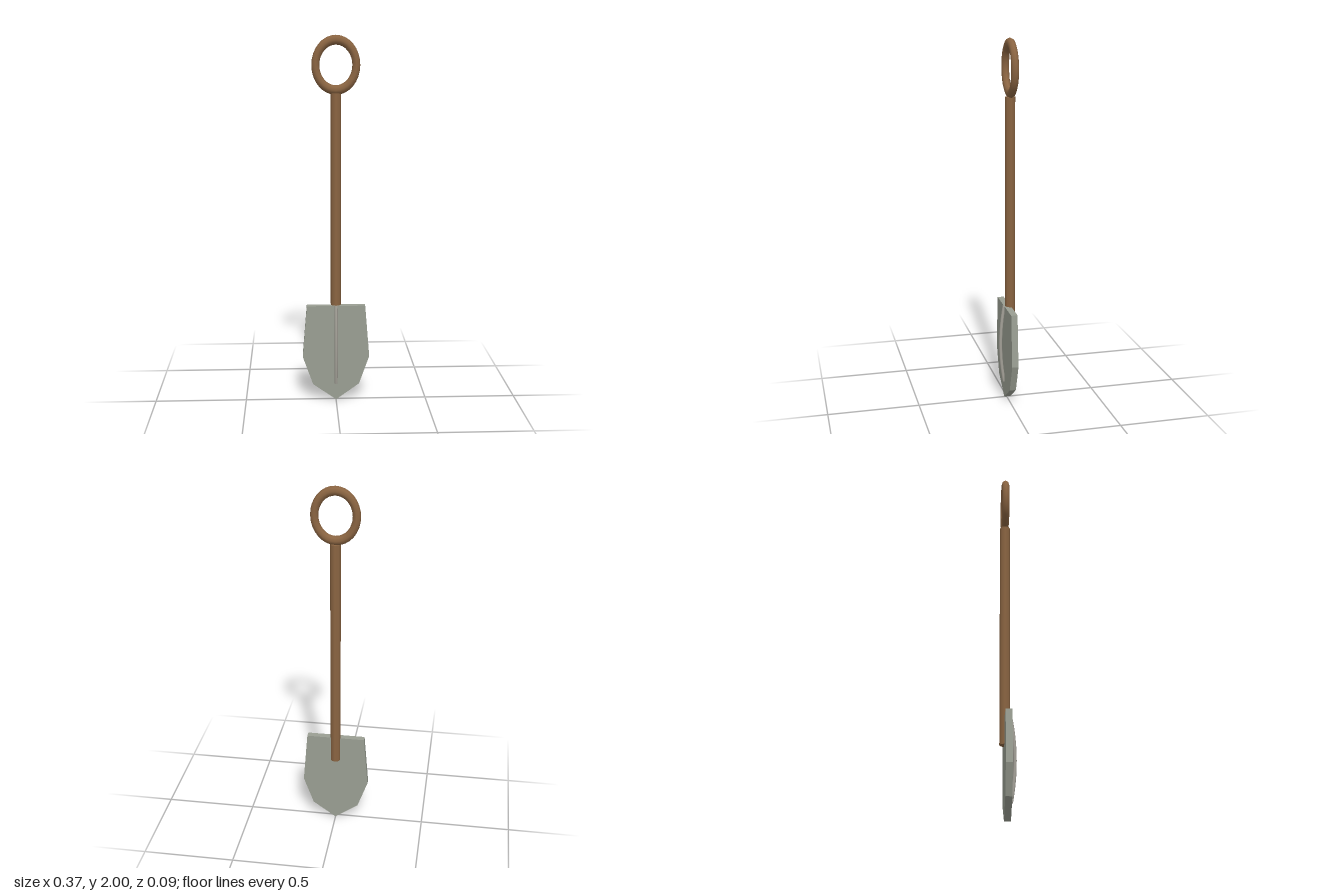
import * as THREE from 'three';

export function createModel() {
  const model = new THREE.Group();
  model.name = 'shovel';

  const material = (name, color, options = {}) =>
    Object.assign(new THREE.MeshStandardMaterial({ color, ...options }), { name });
  const wood = material('wood', 0x8b6542);
  const steel = material('steel', 0x9a9f93);
  const ribSteel = material('light steel', 0xa5a299);

  const add = (name, geometry, mat) => {
    const mesh = new THREE.Mesh(geometry, mat);
    mesh.name = name;
    model.add(mesh);
    return mesh;
  };

  // Pointed blade: right half of the outline, mirrored to the left
  const half = [[0.16, 0.54], [0.184, 0.25], [0.128, 0.092]];
  const outline = [
    [0, 0],
    ...[...half].reverse(),
    ...half.map(([x, y]) => [-x, y]),
  ].map(([x, y]) => new THREE.Vector2(x, y));
  const blade = new THREE.ExtrudeGeometry(new THREE.Shape(outline), { depth: 0.035, bevelEnabled: false });
  add('blade', blade, steel).position.z = -0.021;

  // Bowed rib down the front of the blade, with closed ends
  const ribCurve = new THREE.QuadraticBezierCurve3(
    new THREE.Vector3(0, 0.095, 0.015),
    new THREE.Vector3(0, 0.3175, 0.055),
    new THREE.Vector3(0, 0.54, 0.015),
  );
  const ribRadius = 0.009;
  add('rib', new THREE.TubeGeometry(ribCurve, 16, ribRadius, 8), ribSteel);
  for (const t of [0, 1]) {
    const cap = add('ribEnd', new THREE.CircleGeometry(ribRadius, 8), ribSteel);
    const outward = ribCurve.getTangent(t).multiplyScalar(t ? 1 : -1);
    cap.position.copy(ribCurve.getPoint(t));
    cap.quaternion.setFromUnitVectors(new THREE.Vector3(0, 0, 1), outward);
  }

  // Eight-sided shaft, overlapping the back of the blade
  const shaft = add('shaft', new THREE.CylinderGeometry(0.028, 0.028, 1.297, 8), wood);
  shaft.position.set(0, 1.0465, -0.018);

  // Oval grip ring
  const grip = add('gripRing', new THREE.TorusGeometry(0.108, 0.021, 8, 32), wood);
  grip.scale.y = 1.21;
  grip.position.set(0, 1.844, -0.018);

  return model;
}
